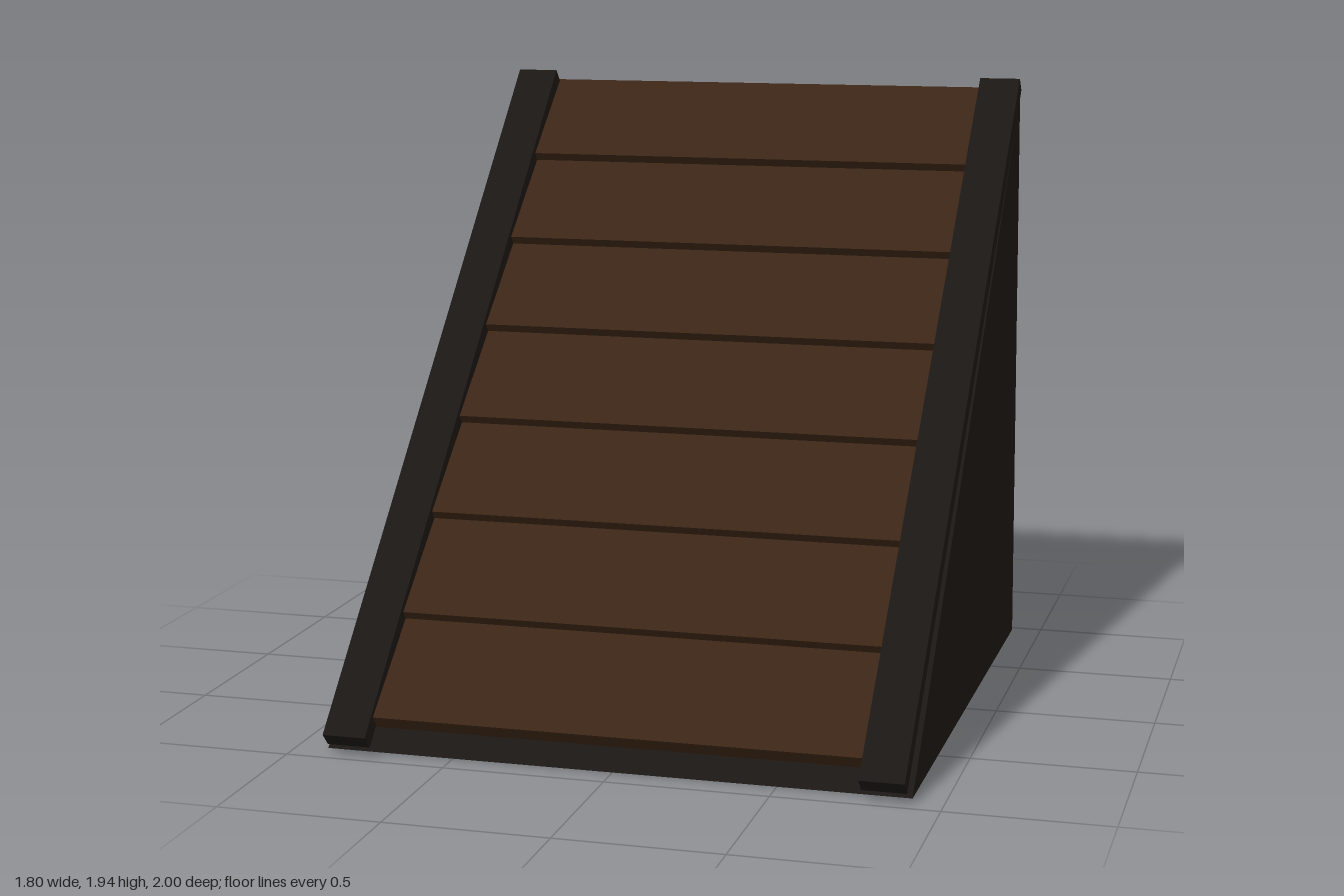
import * as THREE from 'three';

const WOOD = new THREE.MeshStandardMaterial({ color: 0x3b2516 });
const DARK = new THREE.MeshStandardMaterial({ color: 0x1b1714 });

// Box lying on a slope that rises towards the back
function slopedBox(name, material, size, position, angle) {
  const mesh = new THREE.Mesh(new THREE.BoxGeometry(...size), material);
  mesh.name = name;
  mesh.position.set(...position);
  mesh.rotation.x = angle;
  return mesh;
}

// Solid wedge: triangular side profile (z, y), slightly narrower at the top
function wedgeBody() {
  const halfWidth = 0.902, height = 1.87;
  const profile = new THREE.Shape([
    new THREE.Vector2(0.91, 0),
    new THREE.Vector2(-0.975, height),
    new THREE.Vector2(-0.975, 0),
  ]);
  const geometry = new THREE.ExtrudeGeometry(profile, { depth: 2 * halfWidth, bevelEnabled: false });
  geometry.rotateY(-Math.PI / 2).translate(halfWidth, 0, 0);
  const p = geometry.attributes.position;
  for (let i = 0; i < p.count; i++) {
    p.setX(i, p.getX(i) * (1 - 0.014 * p.getY(i) / height));
  }
  geometry.computeVertexNormals();
  const mesh = new THREE.Mesh(geometry, DARK);
  mesh.name = 'wedgeBody';
  return mesh;
}

export function createModel() {
  const model = new THREE.Group();
  model.name = 'plankRoof';
  model.add(wedgeBody());

  // Overlapping planks, each tilted less steeply than the slope
  const planks = new THREE.Group();
  planks.name = 'planks';
  const plankAngle = Math.atan2(0.235, 0.29);
  for (let i = 0; i < 7; i++) {
    planks.add(slopedBox('plank', WOOD, [1.765, 0.05, 0.373],
      [0, 0.213 + i * 0.2585, 0.77 - i * 0.2675], plankAngle));
  }
  model.add(planks);

  // Edge rails on both sides
  const railAngle = Math.atan2(1.865, 1.92);
  model.add(slopedBox('rightRail', DARK, [0.135, 0.057, 2.677], [-0.814, 0.9825, 0.02], railAngle));
  model.add(slopedBox('leftRail', DARK, [0.135, 0.057, 2.677], [0.828, 0.9825, 0.02], railAngle));

  return model;
}
